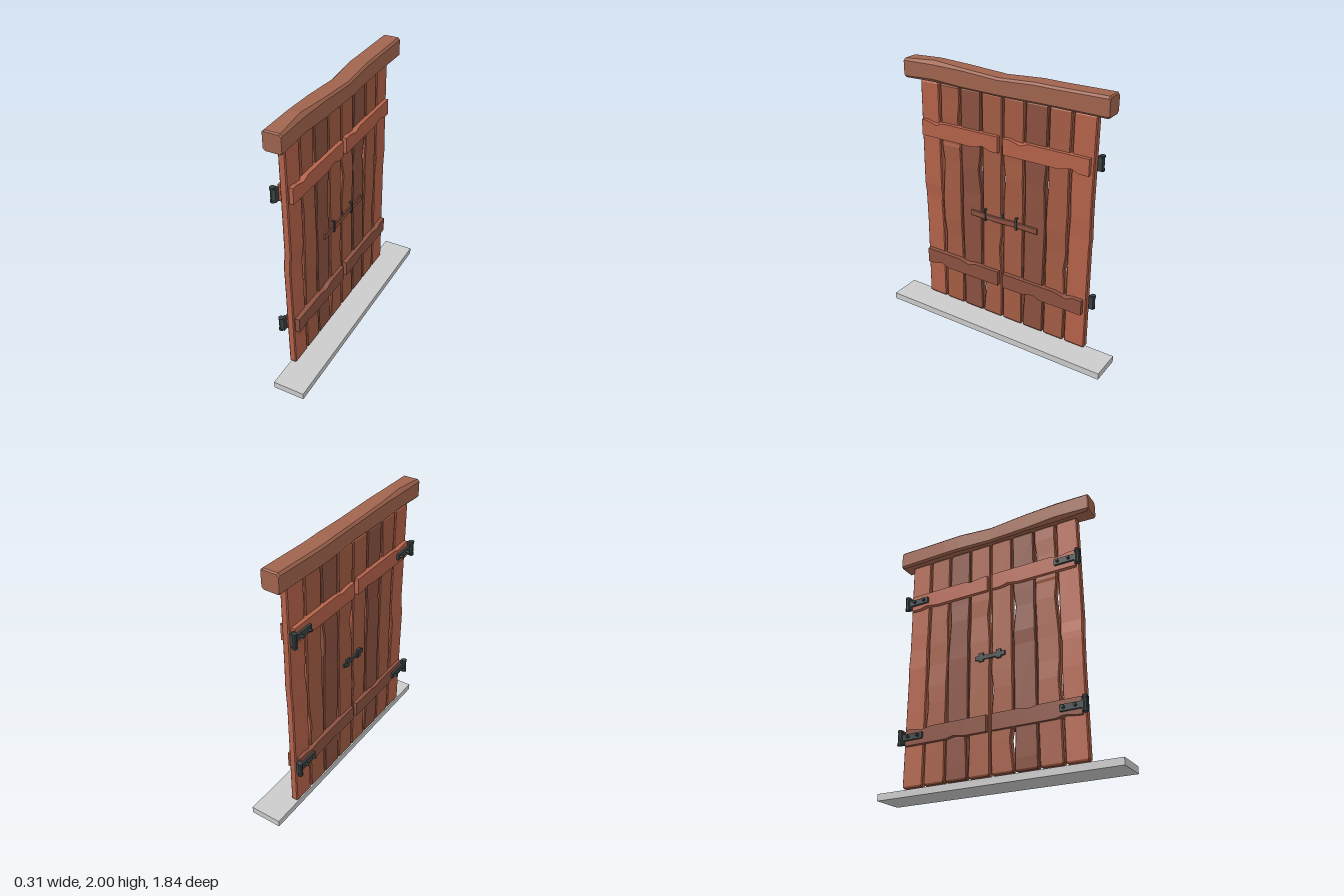
import * as THREE from 'three';

const mat = (color) => new THREE.MeshStandardMaterial({ color, flatShading: true, side: THREE.DoubleSide });
const WOOD = { light: mat(0xb4624a), mid: mat(0xa35c44), dark: mat(0x8b5140), beam: mat(0xa0644e) };
const IRON = mat(0x3a4142);
const STONE = mat(0xcccccc);

function seeded(seed) {
  let s = seed * 7919 + 13;
  return () => ((s = (s * 16807) % 2147483647) / 2147483647) * 2 - 1;
}

// Chamfered rectangle in the x/w plane, counter-clockwise
function ring(x0, x1, w0, w1, c) {
  return [[x0 + c, w0], [x1 - c, w0], [x1, w0 + c], [x1, w1 - c],
    [x1 - c, w1], [x0 + c, w1], [x0, w1 - c], [x0, w0 + c]];
}

// Skin stations {t, pts} along z and cap both ends
function loft(stations) {
  const pos = [];
  const v = (s, i) => [s.pts[i % s.pts.length][0], s.pts[i % s.pts.length][1], s.t];
  for (let k = 0; k < stations.length - 1; k++) {
    const a = stations[k], b = stations[k + 1];
    for (let i = 0; i < a.pts.length; i++) {
      pos.push(...v(a, i), ...v(a, i + 1), ...v(b, i + 1), ...v(a, i), ...v(b, i + 1), ...v(b, i));
    }
  }
  const first = stations[0], last = stations[stations.length - 1];
  for (let i = 1; i < first.pts.length - 1; i++) {
    pos.push(...v(first, 0), ...v(first, i + 1), ...v(first, i));
    pos.push(...v(last, 0), ...v(last, i), ...v(last, i + 1));
  }
  const g = new THREE.BufferGeometry();
  g.setAttribute('position', new THREE.Float32BufferAttribute(pos, 3));
  g.computeVertexNormals();
  return g;
}

function add(parent, name, geometry, material, x = 0, y = 0, z = 0) {
  const m = new THREE.Mesh(geometry, material);
  m.name = name;
  m.position.set(x, y, z);
  parent.add(m);
  return m;
}
const box = (parent, name, material, x0, x1, y0, y1, z0, z1) =>
  add(parent, name, new THREE.BoxGeometry(x1 - x0, y1 - y0, z1 - z0), material,
    (x0 + x1) / 2, (y0 + y1) / 2, (z0 + z1) / 2);

// Upright plank between zHigh and zLow; chips are [y, side (+1 = +z edge), depth]
function plank(zHigh, zLow, chips, seed) {
  const rnd = seeded(seed);
  const y0 = 0.06, y1 = 1.835;
  const ts = new Set([y0, y0 + 0.012, 0.95, y1 - 0.012, y1]);
  chips.forEach(([y]) => [y - 0.2, y, y + 0.13].forEach((t) => ts.add(t)));
  const stations = [...ts].filter((t) => t >= y0 && t <= y1).sort((a, b) => a - b).map((t) => {
    const end = t === y0 || t === y1 ? 0.008 : 0;
    const nearEnd = t < 0.1 || t > 1.8;
    const bow = nearEnd ? 0 : 0.006 * rnd();
    let hi = zHigh - end, lo = zLow + end;
    if (!nearEnd) { hi += 0.003 * rnd(); lo += 0.003 * rnd(); }
    for (const [y, side, depth] of chips) {
      if (t === y) { if (side > 0) hi -= depth; else lo += depth; }
    }
    return { t, pts: ring(-0.088 + end + bow, -0.036 - end + bow, -hi, -lo, 0.007) };
  });
  return loft(stations).rotateX(-Math.PI / 2);
}

// Cross board with a chip on its top edge and one on its bottom edge
function crossBoard(y0, y1, z0, z1, topChip, bottomChip) {
  const ts = [z0, z1];
  [topChip, bottomChip].forEach((c) => ts.push(c - 0.06, c, c + 0.09));
  return loft(ts.sort((a, b) => a - b).map((t) => {
    const top = t === topChip ? 0.024 : 0, bottom = t === bottomChip ? 0.024 : 0;
    return { t, pts: [[-0.115, y0 + bottom * 0.6], [-0.06, y0 + bottom * 0.3], [-0.005, y0 + bottom],
      [-0.005, y1 - top], [-0.06, y1 - top * 0.3], [-0.115, y1 - top * 0.6]] };
  }));
}

// Strap hinge on the back face, side = +1 or -1 along z
function hinge(y, side) {
  const g = new THREE.Group();
  g.name = 'hinge';
  const span = (name, x0, x1, h, za, zb) =>
    box(g, name, IRON, x0, x1, y - h / 2, y + h / 2, Math.min(za * side, zb * side), Math.max(za * side, zb * side));
  span('hingeStrap', -0.132, -0.112, 0.045, 0.53, 0.71);
  span('hingePlate', -0.132, -0.105, 0.1, 0.685, 0.722);
  add(g, 'hingeBarrel', new THREE.CylinderGeometry(0.017, 0.017, 0.09, 8), IRON, -0.133, y, 0.71 * side);
  for (const end of [-1, 1]) {
    add(g, 'hingeKnob', new THREE.CylinderGeometry(0.02, 0.02, 0.016, 8), IRON, -0.133, y + end * 0.047, 0.71 * side);
  }
  for (const z of [0.56, 0.643]) {
    add(g, 'hingeBolt', new THREE.CylinderGeometry(0.011, 0.011, 0.03, 6).rotateZ(Math.PI / 2), IRON, -0.141, y, z * side);
  }
  return g;
}

export function createModel() {
  const root = new THREE.Group();
  root.name = 'doubleDoor';

  // Stone threshold
  box(root, 'threshold', STONE, -0.085, 0.15, 0, 0.05, -0.92, 0.92);

  // Rough lintel: [z, x0, x1, top]
  const lintel = [
    [-0.805, -0.115, 0.013, 1.982], [-0.795, -0.12, 0.018, 1.99], [-0.4, -0.127, 0.014, 1.984],
    [-0.27, -0.126, 0.016, 1.986], [0, -0.108, 0.027, 1.974], [0.3, -0.116, 0.018, 1.988],
    [0.55, -0.121, 0.012, 2], [0.795, -0.12, 0.018, 1.985], [0.805, -0.115, 0.013, 1.978]];
  add(root, 'lintel', loft(lintel.map(([t, x0, x1, top], i) =>
    ({ t, pts: ring(x0, x1, i % 8 ? 1.845 : 1.852, top, i === 6 ? 0.026 : 0.015) }))), WOOD.beam);

  // Planks: z edges, wood, chips
  const planks = [
    [0.70, 0.54, 'light', [[0.9, -1, 0.005]]],
    [0.528, 0.362, 'mid', [[1.25, 1, 0.014], [0.65, 1, 0.012], [1.6, -1, 0.012]]],
    [0.352, 0.182, 'dark', [[1.25, -1, 0.014], [0.35, -1, 0.008]]],
    [0.172, 0.006, 'mid', [[0.66, -1, 0.014], [0.28, 1, 0.018]]],
    [-0.006, -0.172, 'mid', [[1.24, 1, 0.016], [0.3, -1, 0.008]]],
    [-0.182, -0.352, 'dark', [[1.25, -1, 0.012], [0.35, 1, 0.012]]],
    [-0.362, -0.528, 'mid', [[0.65, -1, 0.015], [1.3, 1, 0.008]]],
    [-0.54, -0.705, 'light', [[1.1, 1, 0.005]]]];
  planks.forEach(([hi, lo, wood, chips], i) => add(root, 'plank', plank(hi, lo, chips, i + 1), WOOD[wood]));

  // Cross boards, two per leaf
  add(root, 'upperBoard', crossBoard(1.43, 1.55, 0.025, 0.68, 0.55, 0.15), WOOD.light);
  add(root, 'upperBoard', crossBoard(1.43, 1.55, -0.68, -0.018, -0.16, -0.55), WOOD.light);
  add(root, 'lowerBoard', crossBoard(0.355, 0.473, 0.025, 0.68, 0.29, 0.55), WOOD.dark);
  add(root, 'lowerBoard', crossBoard(0.355, 0.473, -0.68, -0.02, -0.55, -0.28), WOOD.dark);

  // Hinges
  for (const y of [0.413, 1.488]) for (const side of [-1, 1]) root.add(hinge(y, side));

  // Sliding bar, slightly crooked
  const bar = [[-0.295, 0], [-0.1, 0.004], [0.06, -0.003], [0.265, 0]];
  add(root, 'latchBar', loft(bar.map(([t, d]) =>
    ({ t, pts: ring(-0.037, -0.022, 0.88 + d, 0.923 + d, 0.003) }))), WOOD.dark);

  // Iron loops holding the bar
  for (const z of [-0.125, 0.14]) {
    const a = z - 0.008, b = z + 0.008;
    box(root, 'loopFront', IRON, -0.021, -0.014, 0.87, 0.963, a, b);
    box(root, 'loopTop', IRON, -0.045, -0.014, 0.955, 0.963, a, b);
    box(root, 'loopBottom', IRON, -0.045, -0.014, 0.87, 0.878, a, b);
  }
  box(root, 'latchPin', IRON, -0.05, -0.03, 0.925, 0.95, -0.008, 0.012);

  // Thin latch plate on the back
  box(root, 'backPlate', IRON, -0.1, -0.085, 0.895, 0.925, -0.12, 0.12);
  for (const z of [-0.07, 0.07]) box(root, 'backClasp', IRON, -0.103, -0.085, 0.88, 0.945, z - 0.018, z + 0.018);

  return root;
}
